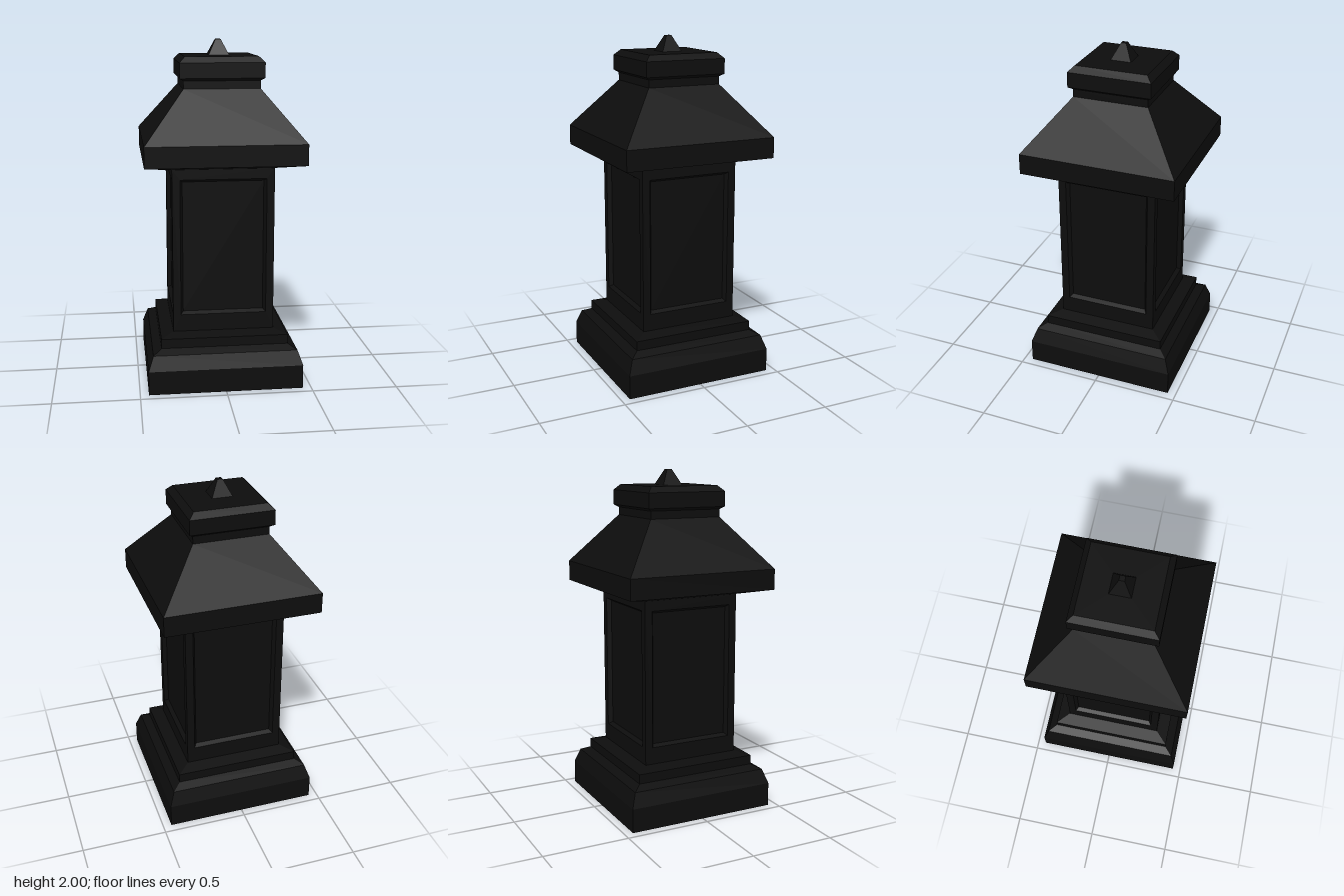
import * as THREE from 'three';

const material = new THREE.MeshStandardMaterial({ color: 0x0d0d0d, flatShading: true });

// Square moulding: sweeps a [halfWidth, y] profile around four sides, bottom to top.
function squareMoulding(name, profile) {
  const points = profile.map(([half, y]) => new THREE.Vector2(half * Math.SQRT2, y));
  const geometry = new THREE.LatheGeometry(points, 4).rotateY(Math.PI / 4).toNonIndexed();
  geometry.computeVertexNormals();
  const mesh = new THREE.Mesh(geometry, material);
  mesh.name = name;
  return mesh;
}

// One shaft face: nested rectangles [halfWidth, bottom, top, z] joined into a sunken panel.
function panelFace(rings) {
  const positions = [];
  const index = [];
  for (const [w, y0, y1, z] of rings) {
    positions.push(-w, y0, z, w, y0, z, w, y1, z, -w, y1, z);
  }
  for (let r = 0; r < rings.length - 1; r++) {
    for (let i = 0; i < 4; i++) {
      const a = r * 4 + i;
      const b = r * 4 + (i + 1) % 4;
      index.push(a, b, b + 4, a, b + 4, a + 4);
    }
  }
  const c = (rings.length - 1) * 4;
  index.push(c, c + 1, c + 2, c, c + 2, c + 3);
  const indexed = new THREE.BufferGeometry();
  indexed.setAttribute('position', new THREE.Float32BufferAttribute(positions, 3));
  indexed.setIndex(index);
  const geometry = indexed.toNonIndexed();
  geometry.computeVertexNormals();
  return geometry;
}

export function createModel() {
  const model = new THREE.Group();
  model.name = 'pedestalPost';

  // Stepped plinth
  model.add(squareMoulding('plinth', [
    [0, 0], [0.45, 0], [0.45, 0.14], [0.42, 0.225], [0.37, 0.25],
    [0.37, 0.305], [0.295, 0.325],
  ]));

  // Shaft with a sunken panel on each side
  const shaft = new THREE.Group();
  shaft.name = 'shaft';
  const face = panelFace([
    [0.295, 0.325, 1.285, 0.295],
    [0.25, 0.425, 1.225, 0.295],
    [0.235, 0.44, 1.21, 0.27],
  ]);
  for (let i = 0; i < 4; i++) {
    const side = new THREE.Mesh(face, material);
    side.name = 'shaftPanel';
    side.rotation.y = i * Math.PI / 2;
    shaft.add(side);
  }
  model.add(shaft);

  // Overhanging sloped roof
  model.add(squareMoulding('roof', [
    [0.295, 1.285], [0.455, 1.32], [0.455, 1.44], [0.22, 1.73],
  ]));

  // Neck and chamfered cap
  model.add(squareMoulding('cap', [
    [0.22, 1.73], [0.22, 1.775], [0.243, 1.79], [0.243, 1.877], [0.21, 1.91], [0, 1.91],
  ]));

  // Small pointed finial
  model.add(squareMoulding('finial', [[0.06, 1.91], [0.015, 2], [0, 2]]));

  return model;
}
